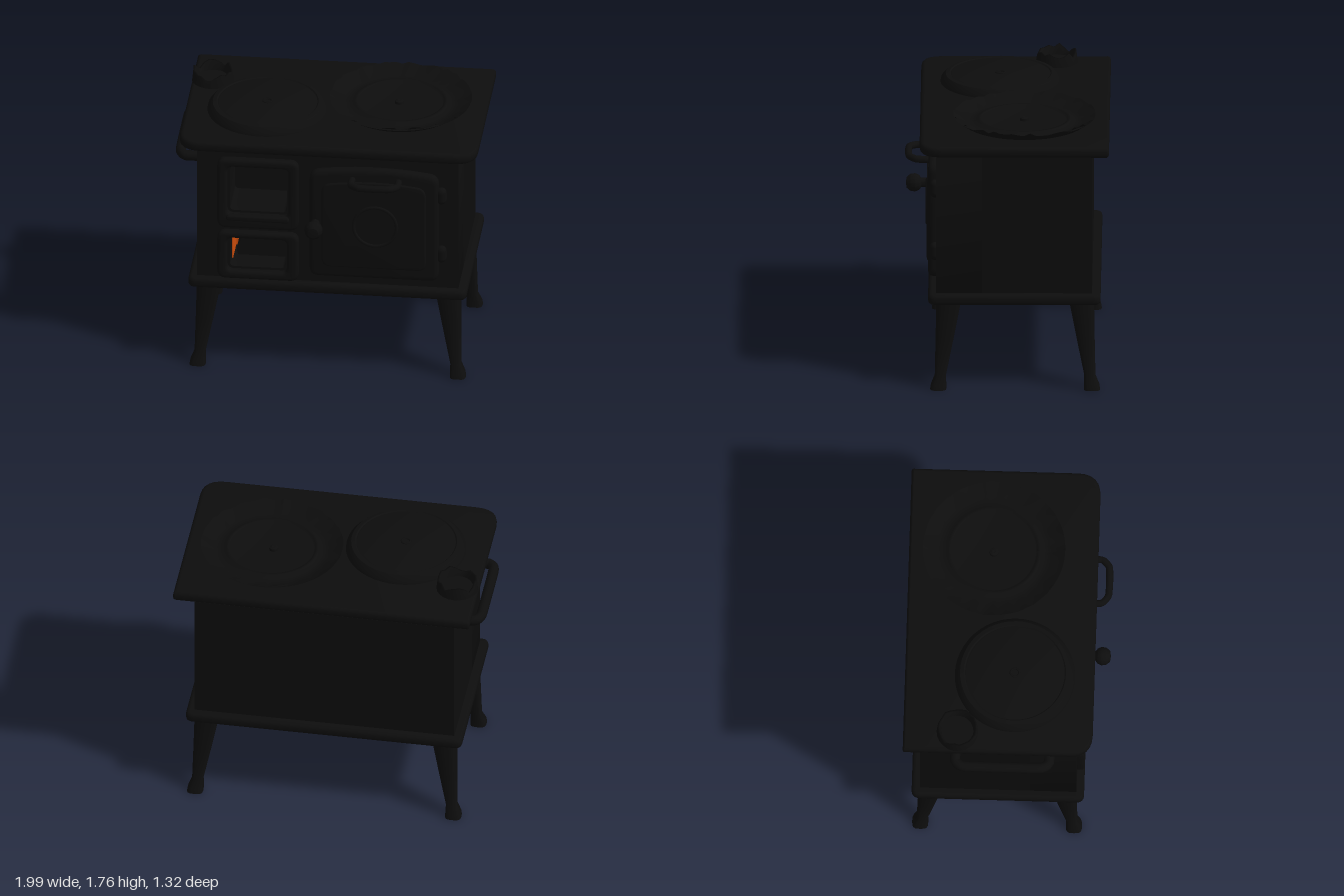
import * as THREE from 'three';
import { toCreasedNormals } from 'three/addons/utils/BufferGeometryUtils.js';

const V = (x, y, z) => new THREE.Vector3(x, y, z);

// Rounded rectangle from corner to corner, with one radius for the low and one for the high edge
function rounded(shape, x0, y0, x1, y1, low, high = low) {
  shape.moveTo(x0 + low, y0);
  shape.lineTo(x1 - low, y0);
  shape.quadraticCurveTo(x1, y0, x1, y0 + low);
  shape.lineTo(x1, y1 - high);
  shape.quadraticCurveTo(x1, y1, x1 - high, y1);
  shape.lineTo(x0 + high, y1);
  shape.quadraticCurveTo(x0, y1, x0, y1 - high);
  shape.lineTo(x0, y0 + low);
  shape.quadraticCurveTo(x0, y0, x0 + low, y0);
  return shape;
}

// Extrusion with a rounded edge that stays within the shape and the depth
function slab(shape, depth, bevel) {
  const geo = new THREE.ExtrudeGeometry(shape, {
    depth: depth - 2 * bevel, bevelEnabled: bevel > 0, bevelThickness: bevel,
    bevelSize: bevel, bevelOffset: -bevel, bevelSegments: 3, curveSegments: 6,
  });
  geo.translate(0, 0, bevel);
  return toCreasedNormals(geo, 0.7);
}

export function createModel() {
  const stove = new THREE.Group();
  stove.name = 'stove';
  const iron = new THREE.MeshStandardMaterial({ color: 0x0d0d0d });
  iron.name = 'blackIron';
  iron.side = THREE.DoubleSide;
  const ember = new THREE.MeshStandardMaterial({ color: 0xcc4d0c });
  ember.name = 'emberOrange';
  ember.side = THREE.DoubleSide;

  const add = (name, geo, x = 0, y = 0, z = 0, mat = iron) => {
    const mesh = new THREE.Mesh(geo, mat);
    mesh.name = name;
    mesh.position.set(x, y, z);
    stove.add(mesh);
    return mesh;
  };
  const lathe = (pts, n = 40) =>
    toCreasedNormals(new THREE.LatheGeometry(pts.map(p => new THREE.Vector2(...p)), n), 0.6);
  const tube = (pts, r, tension = 0.2) => new THREE.TubeGeometry(
    new THREE.CatmullRomCurve3(pts, false, 'catmullrom', tension), 40, r, 10);

  // Window openings: x0, y0, x1, y1
  const upper = [-0.62, 1.14, -0.25, 1.46];
  const lower = [-0.62, 0.73, -0.26, 0.94];

  // Solid body, with a thick front wall holding the two fire openings
  add('body', new THREE.BoxGeometry(1.7, 1.0, 0.71), 0.015, 1.12, -0.195);
  const wall = rounded(new THREE.Shape(), -0.835, 0.62, 0.865, 1.62, 0.005);
  for (const o of [upper, lower]) wall.holes.push(rounded(new THREE.Path(), ...o, 0.03));
  add('frontWall', slab(wall, 0.3, 0), 0, 0, 0.16);

  // Top and base slabs
  const top = rounded(new THREE.Shape(), -0.95, -0.565, 0.99, 0.66, 0.15, 0.015);
  add('topSlab', slab(top, 0.07, 0.025).rotateX(-Math.PI / 2), 0, 1.605, 0);
  const base = rounded(new THREE.Shape(), -0.89, -0.51, 0.92, 0.605, 0.05);
  add('baseSlab', slab(base, 0.07, 0.025).rotateX(-Math.PI / 2), 0, 0.58, 0);

  // Fire door frames
  for (const [name, box, hole] of [
    ['upperFireDoor', [-0.7, 1.03, -0.17, 1.53], upper],
    ['lowerFireDoor', [-0.7, 0.66, -0.17, 1.0], lower],
  ]) {
    const frame = rounded(new THREE.Shape(), ...box, 0.06);
    const [a, b, c, d] = hole;
    frame.holes.push(rounded(new THREE.Path(), a - 0.015, b - 0.015, c + 0.015, d + 0.015, 0.04));
    add(name, slab(frame, 0.07, 0.02), 0, 0, 0.44);
  }
  // Raised sill under the upper opening
  add('windowSill', slab(rounded(new THREE.Shape(), -0.64, 1.09, -0.23, 1.13, 0.02), 0.04, 0.012), 0, 0, 0.485);

  // Glowing back and side of the lower opening, with an ash heap in front
  add('emberBack', new THREE.BoxGeometry(0.35, 0.205, 0.008), -0.44, 0.835, 0.17, ember);
  add('emberSide', new THREE.BoxGeometry(0.008, 0.2, 0.2), -0.614, 0.835, 0.27, ember);
  const heap = new THREE.Shape();
  heap.moveTo(-0.585, 0.731);
  heap.quadraticCurveTo(-0.61, 0.81, -0.55, 0.85);
  heap.quadraticCurveTo(-0.5, 0.882, -0.42, 0.885);
  heap.quadraticCurveTo(-0.34, 0.9, -0.261, 0.936);
  heap.lineTo(-0.261, 0.731);
  add('ashHeap', slab(heap, 0.12, 0), 0, 0, 0.18);

  // Oven door with a gently arched top and a raised inner panel
  const arch = (x0, y0, x1, y1, rise) => {
    const s = new THREE.Shape();
    const r = 0.06;
    s.moveTo(x0 + r, y0);
    s.lineTo(x1 - r, y0);
    s.quadraticCurveTo(x1, y0, x1, y0 + r);
    s.lineTo(x1, y1 - r);
    s.quadraticCurveTo(x1, y1, x1 - r, y1 + 0.01);
    s.quadraticCurveTo((x0 + x1) / 2, y1 + rise * 2, x0 + r, y1 + 0.01);
    s.quadraticCurveTo(x0, y1, x0, y1 - r);
    s.lineTo(x0, y0 + r);
    s.quadraticCurveTo(x0, y0, x0 + r, y0);
    return s;
  };
  add('ovenDoor', slab(arch(-0.1, 0.71, 0.74, 1.47, 0.03), 0.08, 0.03), 0, 0, 0.43);
  add('ovenDoorPanel', slab(arch(-0.02, 0.79, 0.66, 1.39, 0.025), 0.03, 0.012), 0, 0, 0.49);
  add('doorMedallion', new THREE.TorusGeometry(0.14, 0.012, 8, 32), 0.33, 1.1, 0.518);
  for (const y of [0.9, 1.325]) {
    add('hinge', new THREE.CapsuleGeometry(0.035, 0.05, 4, 12), 0.755, y, 0.465);
  }

  // Oven handle and latch knob
  add('ovenHandle', tube([V(0.18, 1.43, 0.49), V(0.18, 1.435, 0.59), V(0.23, 1.44, 0.635),
    V(0.33, 1.44, 0.64), V(0.43, 1.44, 0.635), V(0.48, 1.435, 0.59), V(0.48, 1.43, 0.49)], 0.023));
  const knob = lathe([[0.03, 0], [0.03, 0.07], [0.05, 0.085], [0.06, 0.11], [0.056, 0.14], [0.035, 0.165], [0, 0.17]], 14);
  add('latchKnob', knob.rotateX(Math.PI / 2), -0.06, 1.1, 0.49);

  // Towel rail on the right side
  add('sideRail', tube([V(-0.82, 1.43, -0.32), V(-0.93, 1.43, -0.32), V(-0.965, 1.435, -0.27),
    V(-0.967, 1.435, 0), V(-0.965, 1.435, 0.23), V(-0.93, 1.43, 0.285), V(-0.82, 1.43, 0.285)], 0.034));

  // Splayed legs: squarish sections with a flared foot; [y, outer offset, inner offset]
  const profile = [[0, 0.035, 0.07], [0.03, 0.03, 0.07], [0.09, 0.005, 0.068], [0.32, 0, 0.115], [0.6, -0.005, 0.17]];
  const legGeometry = (sx, sz) => {
    const geo = new THREE.CylinderGeometry(1, 1, 4, 16, 4);
    const p = geo.attributes.position;
    for (let i = 0; i < p.count; i++) {
      const [y, out, inn] = profile[Math.round(p.getY(i) + 2)];
      const mid = (out - inn) / 2, half = (out + inn) / 2;
      const square = v => Math.sign(v) * Math.pow(Math.abs(v), 0.6);
      p.setXYZ(i, sx * mid + square(p.getX(i)) * half, y, sz * mid + square(p.getZ(i)) * half);
    }
    return toCreasedNormals(geo, 0.8);
  };
  for (const sx of [-1, 1]) {
    for (const sz of [-1, 1]) {
      add(sz > 0 ? 'frontLeg' : 'backLeg', legGeometry(sx, sz), 0.015 + sx * 0.863, 0, sz > 0 ? 0.462 : -0.567);
    }
  }

  // Left hot plate with a small lifting boss
  add('hotPlate', lathe([[0.39, 0], [0.385, 0.025], [0.355, 0.058], [0.33, 0.062], [0.322, 0.056], [0.31, 0.061], [0, 0.062]], 48), -0.42, 1.67, 0.05);
  add('plateBoss', new THREE.TorusGeometry(0.028, 0.007, 6, 16).rotateX(Math.PI / 2), -0.42, 1.732, 0.05);

  // Uneven rim: shifts vertices at the rim by a repeatable amount
  const ragged = (geo, from, amount, seed) => {
    const p = geo.attributes.position;
    for (let i = 0; i < p.count; i++) {
      if (p.getY(i) < from) continue;
      const a = Math.round(Math.atan2(p.getZ(i), p.getX(i)) * 100 + 1000) % 628;
      const n = Math.sin(a * 12.9898 + seed) * 43758.5453;
      p.setY(i, p.getY(i) + (n - Math.floor(n) - 0.5) * amount);
    }
    geo.computeVertexNormals();
    return geo;
  };

  // Right burner: shallow dish with an inner ring and centre boss
  const dish = [[0, 0.012], [0.27, 0.012], [0.28, 0.032], [0.3, 0.032], [0.32, 0.014], [0.37, 0.012], [0.46, 0.062]];
  add('burnerDish', ragged(new THREE.LatheGeometry(dish.map(d => new THREE.Vector2(...d)), 72), 0.05, 0.022, 1), 0.43, 1.67, -0.11);
  add('dishUnderside', lathe([[0.37, 0], [0.4, 0.012], [0.455, 0.05]], 48), 0.43, 1.668, -0.11);
  add('burnerBoss', lathe([[0.03, 0], [0.028, 0.018], [0.012, 0.024], [0, 0.02]], 16), 0.42, 1.68, -0.11);

  // Broken flue collar at the back right corner
  const collar = [[0.1, 0.008], [0.115, 0.062], [0.128, 0.062], [0.135, 0]];
  add('flueCollar', ragged(new THREE.LatheGeometry(collar.map(d => new THREE.Vector2(...d)), 22), 0.05, 0.07, 4), -0.815, 1.67, -0.31);
  add('flueCap', new THREE.CylinderGeometry(0.118, 0.118, 0.02, 24), -0.815, 1.68, -0.31);

  return stove;
}
